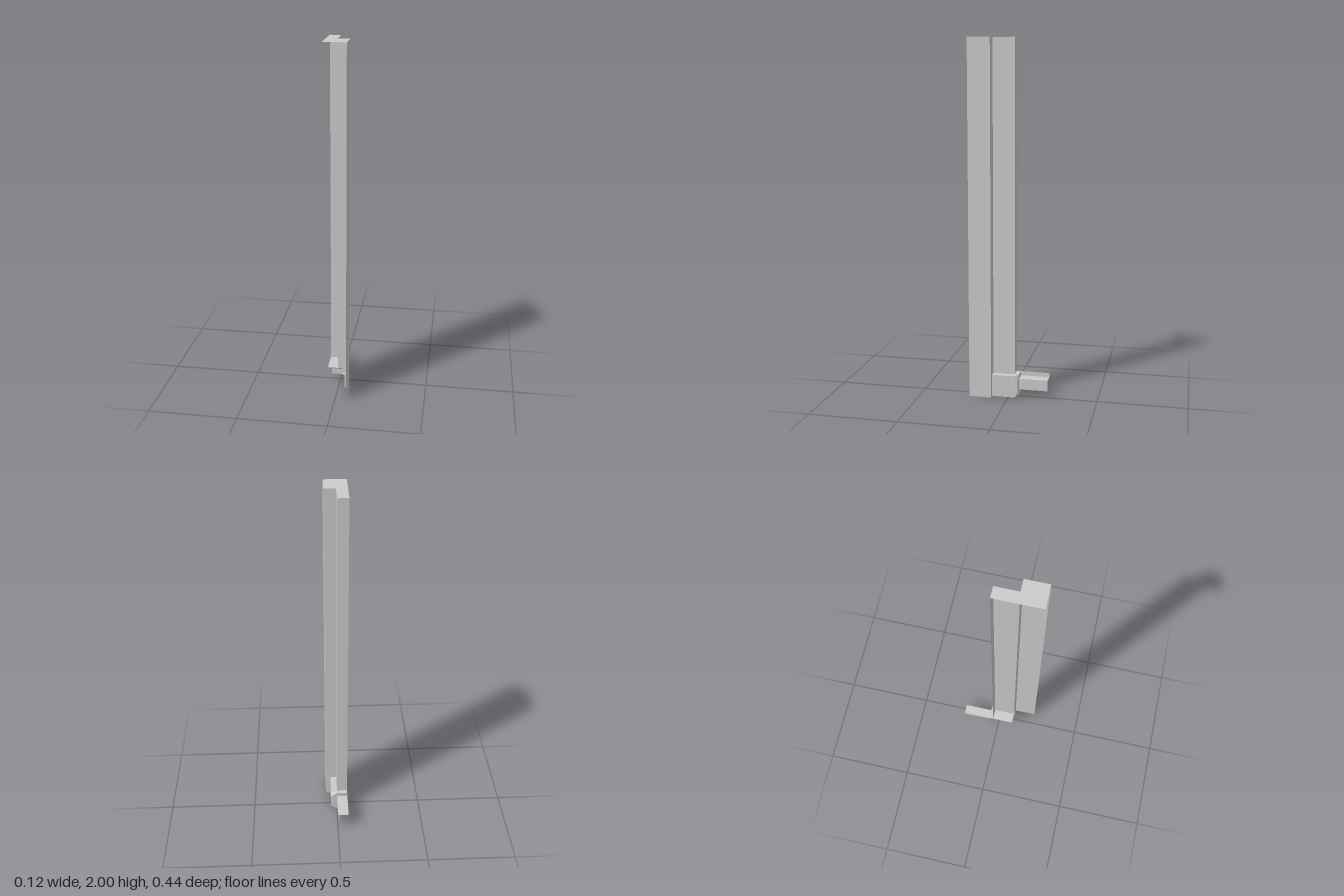
import * as THREE from 'three';

const material = new THREE.MeshStandardMaterial({ color: 0xcccccc, flatShading: true, side: THREE.DoubleSide });

// Thin sheet: one mesh made of convex flat panels, each a list of [x, y, z] corners
function sheet(name, ...panels) {
  const positions = [];
  for (const p of panels) {
    for (let i = 1; i < p.length - 1; i++) positions.push(...p[0], ...p[i], ...p[i + 1]);
  }
  const geometry = new THREE.BufferGeometry();
  geometry.setAttribute('position', new THREE.Float32BufferAttribute(positions, 3));
  geometry.computeVertexNormals();
  const mesh = new THREE.Mesh(geometry, material);
  mesh.name = name;
  return mesh;
}

// Panel standing on the plan line a-b (each [x, z]) between two heights
const wall = (a, b, y0, y1) => [[a[0], y0, a[1]], [b[0], y0, b[1]], [b[0], y1, b[1]], [a[0], y1, a[1]]];
// Horizontal panel with [x, z] corners
const floor = (y, pts) => pts.map(([x, z]) => [x, y, z]);

export function createModel() {
  const group = new THREE.Group();
  const L = -0.062, M = -0.002, B = 0.034, R = 0.062; // x lines: edge, fold, bracket side, outer edge
  const front = 0.219, step = 0.093, back = -0.031, plate = -0.055, end = -0.22; // z lines
  const H = 2, top = 0.125, cut = 0.026, trim = 0.02; // heights and corner chamfer

  // Tall folded post; the inner folds stop on the bracket, the outer ones reach the ground
  group.add(sheet('postWalls',
    wall([R, front], [R, step], 0, H),
    wall([R, step], [B, step], 0, H),
    wall([B, step], [M, step], top, H),
    wall([M, step], [M, back], top, H),
    wall([M, back], [L, back], top, H)));

  // Z-shaped cap closing the post
  group.add(sheet('postCap',
    floor(H, [[L, front], [R, front], [R, step], [L, step]]),
    floor(H, [[L, step], [M, step], [M, back], [L, back]])));

  // Foot bracket: top, side and back plates with chamfered corners
  const inner = plate + trim;
  group.add(sheet('bracketTop', floor(top, [[L, step], [B, step], [B, inner], [M, plate], [L, plate]])));
  group.add(sheet('bracketSide', [
    [B, 0, step], [B, 0, inner], [B, cut, plate], [B, top - cut, plate], [B, top, inner], [B, top, step]]));
  group.add(sheet('bracketBack', [
    [M, 0, plate], [M, top, plate], [B, top - cut, plate], [B, cut, plate]]));
  for (const [y, yCut] of [[top, top - cut], [0, cut]]) {
    group.add(sheet('bracketChamfer', [[M, y, plate], [B, y, inner], [B, yCut, plate]]));
  }

  // Lips either side of the open slot in the back plate
  group.add(sheet('upperLip', wall([L, plate], [M, plate], 0.1, top)));
  group.add(sheet('lowerLip', wall([L, plate], [M, plate], 0, 0.034)));

  // Z-folded arm reaching backward
  group.add(sheet('rearArm',
    wall([M, plate], [M, end], 0.037, 0.1),
    floor(0.1, [[M, plate], [M, end], [L, end], [L, plate]]),
    wall([L, plate], [L, end], 0.1, top)));

  return group;
}
